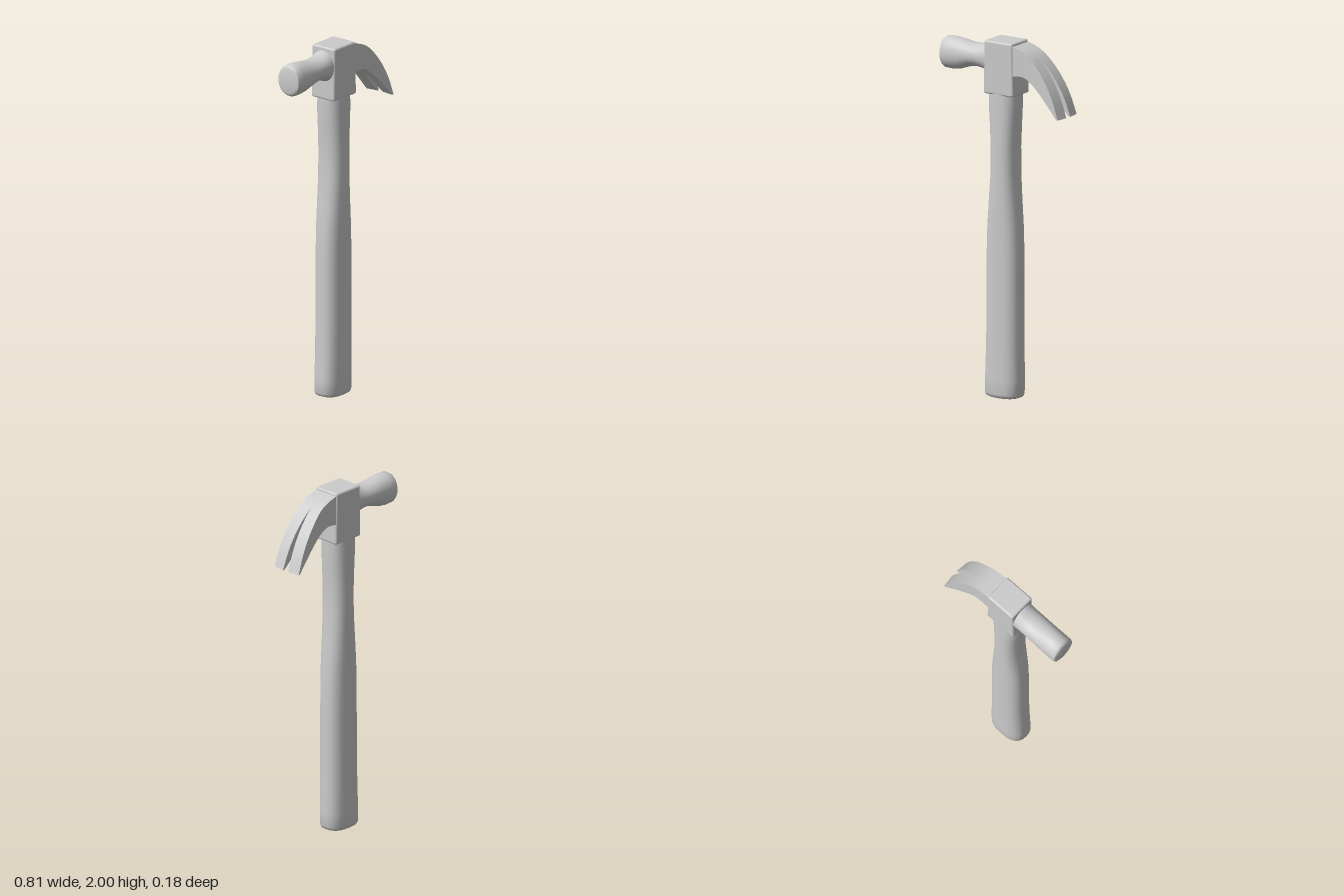
import * as THREE from 'three';
import { toCreasedNormals } from 'three/addons/utils/BufferGeometryUtils.js';
import { RoundedBoxGeometry } from 'three/addons/geometries/RoundedBoxGeometry.js';

const material = new THREE.MeshStandardMaterial({ color: 0xcccccc, roughness: 0.7 });

function addMesh(parent, name, geometry) {
  const mesh = new THREE.Mesh(geometry, material);
  mesh.name = name;
  parent.add(mesh);
  return mesh;
}

// Closed skin over rings of Vector3, each counter-clockwise about the direction of travel
function loft(rings, crease) {
  const n = rings[0].length;
  const pos = [];
  const tri = (...pts) => pts.forEach((p) => pos.push(p.x, p.y, p.z));
  const middle = (r) => r.reduce((s, p) => s.add(p), new THREE.Vector3()).divideScalar(n);
  const first = rings[0];
  const last = rings[rings.length - 1];
  const c0 = middle(first);
  const c1 = middle(last);
  for (let j = 0; j < n; j++) {
    const k = (j + 1) % n;
    for (let i = 0; i < rings.length - 1; i++) {
      const a = rings[i];
      const b = rings[i + 1];
      tri(a[j], a[k], b[k]);
      tri(a[j], b[k], b[j]);
    }
    tri(c0, first[k], first[j]);
    tri(c1, last[j], last[k]);
  }
  const g = new THREE.BufferGeometry();
  g.setAttribute('position', new THREE.Float32BufferAttribute(pos, 3));
  return toCreasedNormals(g, crease);
}

// Unit superellipse: exponent 2 is a circle, higher is boxier
function superellipse(sides, exponent) {
  return Array.from({ length: sides }, (_, i) => {
    const t = (i / sides) * Math.PI * 2;
    const f = (v) => Math.sign(v) * Math.abs(v) ** (2 / exponent);
    return [f(Math.sin(t)), f(Math.cos(t))];
  });
}

function curve(points) {
  return new THREE.SplineCurve(points.map(([x, y]) => new THREE.Vector2(x, y)));
}

// Grip: [height, left edge x, right edge x, half depth]
function handleGeometry() {
  const stations = [
    [0, -0.11, 0.075, 0.068], [0.006, -0.123, 0.088, 0.077], [0.022, -0.13, 0.095, 0.081],
    [0.1, -0.128, 0.096, 0.081], [0.25, -0.122, 0.094, 0.081], [0.45, -0.117, 0.093, 0.081],
    [0.65, -0.117, 0.093, 0.081], [0.82, -0.116, 0.092, 0.081], [0.96, -0.111, 0.087, 0.081],
    [1.1, -0.1, 0.077, 0.081], [1.25, -0.087, 0.068, 0.081], [1.4, -0.086, 0.067, 0.081],
    [1.52, -0.092, 0.073, 0.081], [1.62, -0.099, 0.079, 0.081], [1.72, -0.1, 0.08, 0.079],
  ];
  const outline = superellipse(32, 2.5);
  return loft(stations.map(([y, x0, x1, d]) => outline.map(([s, c]) =>
    new THREE.Vector3((x0 + x1) / 2 + (s * (x1 - x0)) / 2, y, c * d))), 0.8);
}

// Striking end: [x, bottom y, top y, half depth]
function pollGeometry() {
  const stations = [
    [-0.405, 1.81, 1.95, 0.06], [-0.401, 1.798, 1.962, 0.071], [-0.39, 1.791, 1.969, 0.075],
    [-0.35, 1.789, 1.971, 0.075], [-0.3, 1.796, 1.966, 0.075], [-0.26, 1.81, 1.959, 0.075],
    [-0.22, 1.823, 1.954, 0.075], [-0.18, 1.828, 1.954, 0.075], [-0.14, 1.822, 1.961, 0.075],
    [-0.115, 1.81, 1.975, 0.075], [-0.08, 1.795, 1.985, 0.075],
  ];
  const outline = superellipse(32, 2.1);
  return loft(stations.map(([x, y0, y1, d]) => outline.map(([s, c]) =>
    new THREE.Vector3(x, (y0 + y1) / 2 + (c * (y1 - y0)) / 2, s * d))), 0.8);
}

// One prong of the claw, side = 1 or -1; the slot widens toward the tip
function prongGeometry(side) {
  const upper = curve([[0.06, 1.992], [0.15, 1.965], [0.22, 1.92], [0.3, 1.83], [0.36, 1.73], [0.403, 1.62]]);
  const lower = curve([[0.06, 1.815], [0.145, 1.825], [0.205, 1.797], [0.275, 1.74], [0.335, 1.68], [0.393, 1.62]]);
  const corner = (p, outer) => {
    const spread = Math.max(0, p.x - 0.205) / 0.195;
    const z = outer ? 0.074 + 0.017 * spread : 0.0185 * spread;
    return new THREE.Vector3(p.x - (outer ? 0.008 * spread : 0), p.y, side * z);
  };
  const rings = [];
  for (let i = 0; i <= 20; i++) {
    const t = upper.getPoint(i / 20);
    const b = lower.getPoint(i / 20);
    const ring = [corner(t, false), corner(t, true), corner(b, true), corner(b, false)];
    rings.push(side > 0 ? ring : ring.reverse());
  }
  return loft(rings, 0.5);
}

// Head block, slightly narrower at the top and bottom
function blockGeometry() {
  const g = new RoundedBoxGeometry(0.196, 0.3, 0.16, 3, 0.012);
  const p = g.attributes.position;
  for (let i = 0; i < p.count; i++) {
    const y = p.getY(i) / 0.15;
    p.setX(i, p.getX(i) * (y > 0 ? 1 - 0.06 * y : 1));
  }
  g.translate(-0.008, 1.85, 0);
  return g;
}

export function createModel() {
  const model = new THREE.Group();
  model.name = 'clawHammer';
  addMesh(model, 'handle', handleGeometry());

  const head = new THREE.Group();
  head.name = 'head';
  addMesh(head, 'headBlock', blockGeometry());
  addMesh(head, 'poll', pollGeometry());
  addMesh(head, 'leftClawProng', prongGeometry(1)).name = 'frontClawProng';
  addMesh(head, 'backClawProng', prongGeometry(-1));
  model.add(head);
  return model;
}
